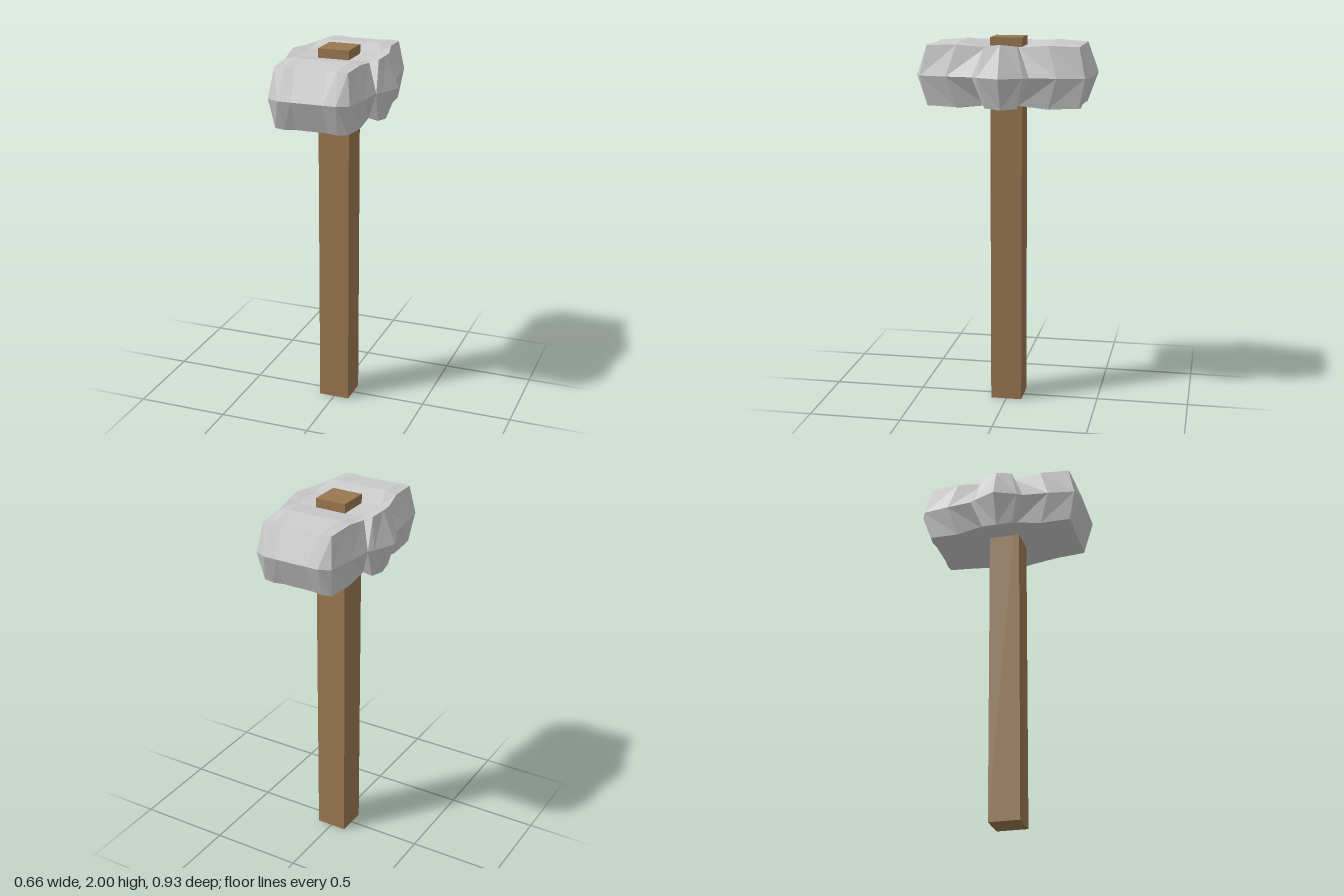
import * as THREE from 'three';

// Upper surface of one quarter of the head: rows run from the striking face to
// the middle, columns run outwards. Each point is [x, height above mid-line, z].
const CAP = [
  [[0, .157, .40], [.085, .157, .40], [.14, .161, .405], [.195, .157, .40], [.195, .157, .40]],
  [[0, .171, .24], [.085, .171, .24], [.14, .173, .24], [.203, .163, .24], [.203, .163, .24]],
  [[0, .145, .085], [.085, .145, .085], [.14, .147, .085], [.193, .15, .085], [.245, .16, .085]],
  [[0, .145, 0], [.085, .145, 0], [.14, .147, 0], [.193, .152, 0], [.258, .168, 0]],
];

// Widest outline at the mid-line, paired with the rim of the cap.
const BELT = [[0, .463], [.085, .463], [.155, .463], [.217, .434], [.241, .29], [.256, .15], [.275, .12], [.328, 0]]
  .map(([x, z]) => [x, 0, z]);
const RIM = [...CAP[0].slice(0, 4), CAP[1][3], CAP[2][3], CAP[2][4], CAP[3][4]];

function headGeometry() {
  const quads = [];
  for (let r = 0; r < 3; r++)
    for (let c = 0; c < 4; c++)
      quads.push([CAP[r][c], CAP[r][c + 1], CAP[r + 1][c + 1], CAP[r + 1][c]]);
  for (let i = 0; i < BELT.length - 1; i++)
    quads.push([BELT[i], BELT[i + 1], RIM[i + 1], RIM[i]]);

  // Mirror one octant into all eight, reversing the winding where needed.
  const positions = [];
  for (const sx of [1, -1]) for (const sy of [1, -1]) for (const sz of [1, -1])
    for (const [a, b, c, d] of quads)
      for (const tri of [[a, b, c], [a, c, d]]) {
        if (tri[0] === tri[1] || tri[1] === tri[2]) continue;
        if (sx * sy * sz < 0) tri.reverse();
        for (const [x, y, z] of tri) positions.push(x * sx, y * sy, z * sz);
      }
  const geometry = new THREE.BufferGeometry();
  geometry.setAttribute('position', new THREE.Float32BufferAttribute(positions, 3));
  geometry.computeVertexNormals();
  return geometry;
}

export function createModel() {
  const group = new THREE.Group();
  group.name = 'hammer';

  // Faceted head with bulging cheeks
  const head = new THREE.Mesh(headGeometry(),
    new THREE.MeshStandardMaterial({ color: 0xcccccc, flatShading: true }));
  head.name = 'hammerHead';
  head.position.y = 1.806;
  group.add(head);

  // Square wooden handle passing through the head
  const handle = new THREE.Mesh(new THREE.BoxGeometry(.17, 2, .17),
    new THREE.MeshStandardMaterial({ color: 0x9a7850, flatShading: true }));
  handle.name = 'handle';
  handle.position.y = 1;
  group.add(handle);

  return group;
}
